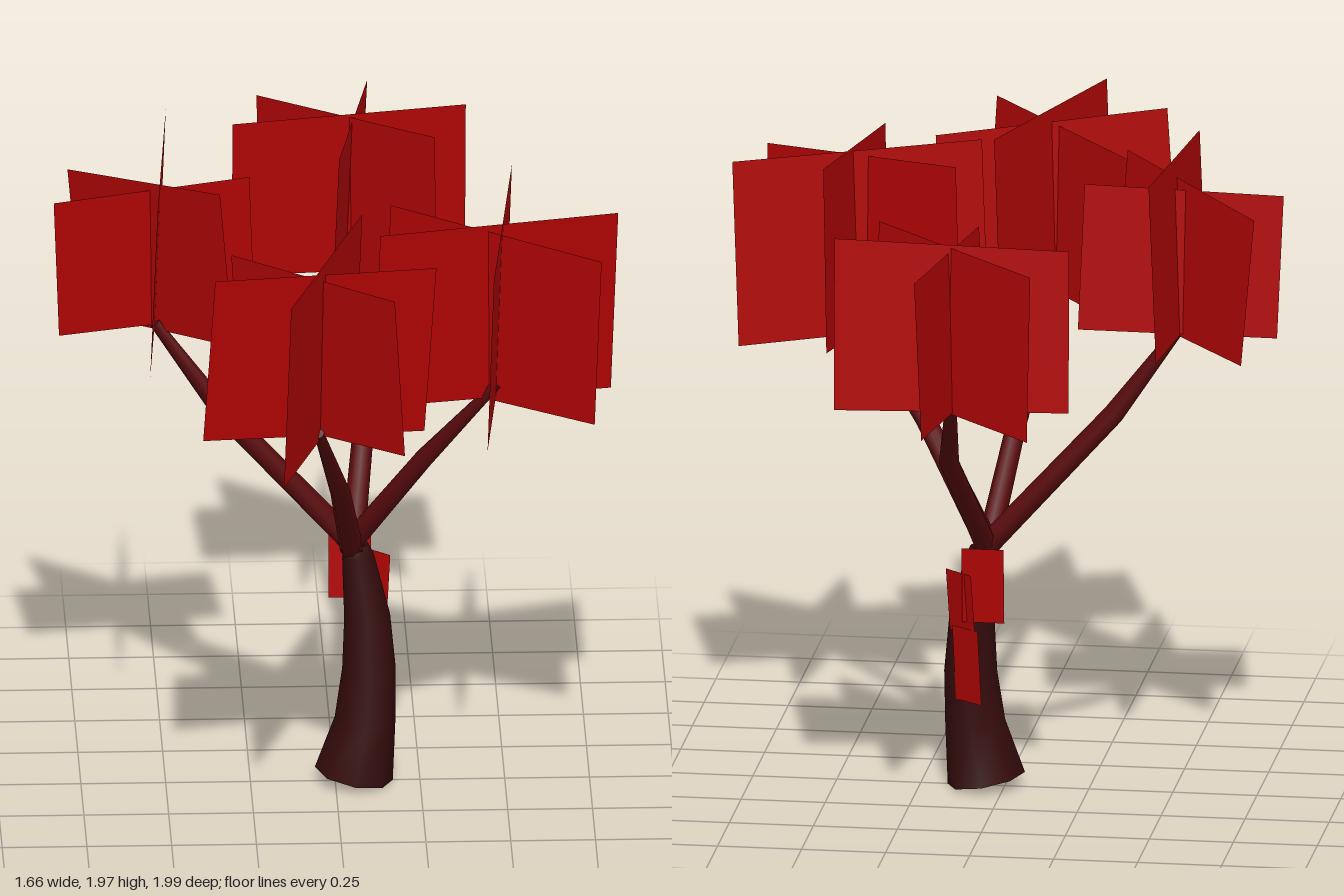
import * as THREE from 'three';

const paint = (name, color, side = THREE.FrontSide) => {
  const m = new THREE.MeshStandardMaterial({ color, side });
  m.name = name;
  return m;
};

// Tapered limb: rings set square to a path of [x, y, z, radius], capped at both ends
function limb(path, sides) {
  const pts = path.map(p => new THREE.Vector3(p[0], p[1], p[2]));
  const pos = [], idx = [];
  const up = new THREE.Vector3(0, 1, 0);
  pts.forEach((p, i) => {
    const dir = pts[Math.min(i + 1, pts.length - 1)].clone().sub(pts[Math.max(i - 1, 0)]).normalize();
    const turn = new THREE.Quaternion().setFromUnitVectors(up, dir);
    for (let s = 0; s < sides; s++) {
      const a = (s / sides) * Math.PI * 2;
      const v = new THREE.Vector3(Math.cos(a), 0, Math.sin(a)).multiplyScalar(path[i][3]);
      pos.push(...v.applyQuaternion(turn).add(p).toArray());
    }
  });
  for (let i = 0; i < pts.length - 1; i++) {
    for (let s = 0; s < sides; s++) {
      const a = i * sides + s, b = i * sides + (s + 1) % sides;
      idx.push(a, a + sides, b, b, a + sides, b + sides);
    }
  }
  // Caps use their own vertices so the rims stay sharp
  [0, pts.length - 1].forEach((ring, end) => {
    const base = pos.length / 3;
    pos.push(...pos.slice(ring * sides * 3, (ring + 1) * sides * 3));
    for (let s = 1; s < sides - 1; s++) {
      if (end) idx.push(base, base + s + 1, base + s);
      else idx.push(base, base + s, base + s + 1);
    }
  });
  const g = new THREE.BufferGeometry();
  g.setAttribute('position', new THREE.Float32BufferAttribute(pos, 3));
  g.setIndex(idx);
  g.computeVertexNormals();
  return g;
}

// Flat card between two ends [x, z, bottom y, top y]; the bottom edge is
// slid along the card and pushed sideways by lean
function card(a, b, slide, lean) {
  const d = new THREE.Vector2(b[0] - a[0], b[1] - a[1]).normalize();
  const dx = d.x * slide + d.y * lean, dz = d.y * slide - d.x * lean;
  const g = new THREE.BufferGeometry();
  g.setAttribute('position', new THREE.Float32BufferAttribute([
    a[0] + dx, a[2], a[1] + dz, b[0] + dx, b[2], b[1] + dz,
    b[0], b[3], b[1], a[0], a[3], a[1],
  ], 3));
  g.setIndex([0, 1, 2, 0, 2, 3]);
  g.computeVertexNormals();
  return g;
}

export function createModel() {
  const tree = new THREE.Group();
  tree.name = 'tree';
  const bark = paint('dark bark', 0x340a0b);
  const wood = paint('branch wood', 0x580a0c);
  const red = paint('red leaves', 0xb00404, THREE.DoubleSide);

  const add = (name, geometry, material, parent = tree) => {
    const m = new THREE.Mesh(geometry, material);
    m.name = name;
    parent.add(m);
  };

  // Curved trunk with a flared, slanted foot
  add('trunk', limb([
    [0.055, 0.03, 0, 0.117], [0.088, 0.2, 0, 0.09], [0.1, 0.36, -0.01, 0.079],
    [0.095, 0.52, -0.02, 0.068], [0.068, 0.71, -0.025, 0.047], [0.062, 0.745, -0.025, 0.036],
  ], 8), bark);

  // Four branches, each bending once
  const branches = {
    leftward: [[0.06, 0.74, -0.03, 0.035], [-0.325, 1.165, -0.015, 0.031], [-0.53, 1.45, -0.04, 0.016]],
    front: [[0.05, 0.73, -0.03, 0.035], [0.005, 1.04, 0.3, 0.03], [-0.07, 1.36, 0.63, 0.015]],
    rightward: [[0.04, 0.74, -0.03, 0.035], [0.255, 1.08, 0.14, 0.03], [0.47, 1.36, 0.25, 0.015]],
    back: [[0.05, 0.73, 0, 0.035], [0.11, 1.11, -0.4, 0.03], [0.065, 1.38, -0.68, 0.016]],
  };
  for (const [name, path] of Object.entries(branches)) add(name + 'Branch', limb(path, 8), wood);

  // Leaf cards, three crossed per branch: two ends and the slide of the bottom edge
  const crowns = {
    leftward: [
      [[-0.83, 0, 1.42, 1.85], [-0.25, -0.09, 1.45, 1.89], 0.02],
      [[-0.78, -0.27, 1.4, 1.85], [-0.345, 0.15, 1.45, 1.93], 0.035],
      [[-0.535, 0.32, 1.42, 1.95], [-0.485, -0.41, 1.44, 1.98], 0],
    ],
    front: [
      [[-0.38, 0.74, 1.38, 1.89], [0.28, 0.53, 1.32, 1.84], -0.03],
      [[-0.32, 0.38, 1.32, 1.83], [0.145, 0.87, 1.38, 1.87], 0.02],
      [[-0.165, 0.99, 1.33, 1.9], [0.07, 0.27, 1.34, 1.91], 0],
    ],
    rightward: [
      [[0.12, 0.37, 1.33, 1.88], [0.83, 0.135, 1.29, 1.85], -0.015],
      [[0.16, 0.1, 1.32, 1.87], [0.77, 0.45, 1.29, 1.82], -0.035],
      [[0.445, 0.64, 1.28, 1.84], [0.525, -0.11, 1.36, 1.91], 0.05],
    ],
    back: [
      [[-0.28, -0.635, 1.35, 1.84], [0.41, -0.695, 1.35, 1.87], 0],
      [[-0.2, -0.89, 1.33, 1.83], [0.31, -0.46, 1.36, 1.86], -0.01],
      [[0.025, -0.37, 1.35, 1.83], [0.13, -1, 1.35, 1.83], 0],
    ],
  };
  for (const [name, cards] of Object.entries(crowns)) {
    const crown = new THREE.Group();
    crown.name = name + 'Leaves';
    tree.add(crown);
    for (const [a, b, slide] of cards) add('leafCard', card(a, b, slide, 0.022), red, crown);
  }

  // Small red plates hanging on the back of the trunk
  const plates = [
    [[-0.015, -0.135, 0.54, 0.77], [0.11, -0.135, 0.54, 0.77]],
    [[0.08, -0.15, 0.5, 0.69], [0.165, -0.075, 0.5, 0.69]],
    [[0.06, -0.15, 0.29, 0.52], [0.145, -0.085, 0.29, 0.52]],
  ];
  for (const [a, b] of plates) add('trunkPlate', card(a, b, 0, -0.016), red);
  return tree;
}
